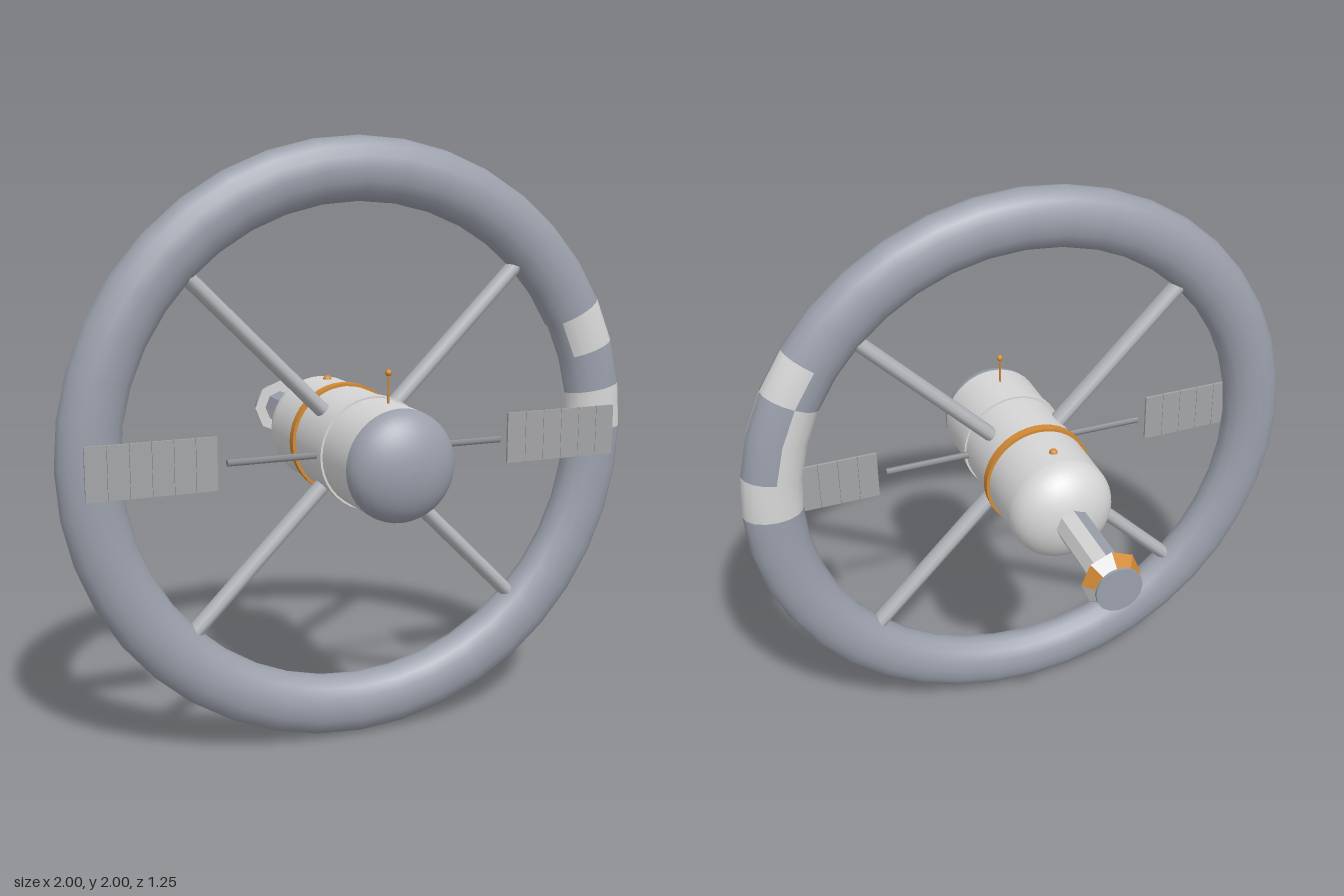
import * as THREE from 'three';

const mat = (name, color) => Object.assign(new THREE.MeshStandardMaterial({ color }), { name });

export function createModel() {
  const blueGrey = mat('blue grey', 0x9a9fab);
  const light = mat('light grey', 0xd6d6d6);
  const steel = mat('steel', 0xb4b6ba);
  const panelGrey = mat('panel grey', 0xa3a4a6);
  const armGrey = mat('arm grey', 0x8c8e92);
  const orange = mat('orange', 0xd38a35);

  const station = new THREE.Group();
  station.name = 'spaceStation';
  station.position.y = 1;

  const add = (name, geometry, material, x = 0, y = 0, z = 0) => {
    const mesh = new THREE.Mesh(geometry, material);
    mesh.name = name;
    mesh.position.set(x, y, z);
    station.add(mesh);
    return mesh;
  };

  // Surface of revolution about z; points are [radius, z] with z rising
  const turned = (points, sides = 40) =>
    new THREE.LatheGeometry(points.map(([r, z]) => new THREE.Vector2(r, z)), sides).rotateX(Math.PI / 2);

  // Faceted eight-sided tube along z, with a material index for each side
  const octagon = (rFront, rBack, length, sideColors) => {
    const base = new THREE.CylinderGeometry(rFront, rBack, length, 8).rotateX(Math.PI / 2);
    const geometry = base.toNonIndexed();
    geometry.clearGroups();
    sideColors.forEach((m, i) => geometry.addGroup(i * 6, 6, m));
    geometry.addGroup(48, 48, 0);
    geometry.computeVertexNormals();
    return geometry;
  };

  // Habitat ring with a few pale plates on its left side
  const segments = 40, around = 16;
  const ringGeo = new THREE.TorusGeometry(0.897, 0.103, around, segments).scale(1, 1, 0.75);
  ringGeo.clearGroups();
  const isPale = (j, i) => {
    const outer = j < 4 || j >= 12, front = j < 8;
    if (i === 0) return true;
    if (i === 2) return (front && j < 6) || (!front && !outer);
    if (i === 1) return !front && !outer;
    return i === 3 && !front && outer;
  };
  for (let j = 0; j < around; j++) {
    for (let i = 0; i < segments; i++) {
      ringGeo.addGroup((j * segments + i) * 6, 6, isPale(j, i) ? 1 : 0);
    }
  }
  add('habitatRing', ringGeo, [blueGrey, light], 0, 0, 0.19);

  // Four diagonal spokes
  for (let k = 0; k < 4; k++) {
    const a = Math.PI / 4 + k * Math.PI / 2;
    const geo = new THREE.CylinderGeometry(0.025, 0.025, 0.68, 10).scale(1, 1, 1.4);
    const spoke = add('spoke', geo, steel, Math.cos(a) * 0.48, Math.sin(a) * 0.48, 0.19);
    spoke.rotation.z = a - Math.PI / 2;
  }

  // Core hull and end domes
  const R = 0.18;
  add('hull', turned([[R, -0.14], [R, 0.52]]), light);
  const backDome = [], frontDome = [];
  for (let k = 0; k <= 10; k++) {
    const a = k / 10 * Math.PI / 2;
    backDome.push([R * Math.sin(a), -0.14 - 0.125 * Math.cos(a)]);
    frontDome.push([R * Math.cos(a), 0.52 + 0.105 * Math.sin(a)]);
  }
  add('backDome', turned(backDome), light);
  add('frontDome', turned(frontDome), blueGrey);

  // Raised bands round the hull
  const band = (name, material, z, r, half) => add(name,
    new THREE.CylinderGeometry(r, r, half * 2, 40).rotateX(Math.PI / 2), material, 0, 0, z);
  band('orangeBand', orange, 0.07, 0.19, 0.015);
  band('collar', light, 0.312, 0.187, 0.015);

  // Docking tube, flared collar and end hatch
  add('dockingTube', octagon(0.06, 0.06, 0.34, [0, 0, 0, 0, 1, 1, 0, 2]), [light, blueGrey, orange], 0, 0, -0.42);
  add('dockingCollar', octagon(0.1, 0.055, 0.055, [0, 0, 1, 0, 1, 1, 0, 0]), [light, orange], 0, 0, -0.587);
  add('dockingHatch', new THREE.CylinderGeometry(0.078, 0.078, 0.01, 16).rotateX(Math.PI / 2), blueGrey, 0, 0, -0.62);

  // Arms and six-cell solar panels on both sides
  for (const side of [-1, 1]) {
    add('panelArm', new THREE.CylinderGeometry(0.012, 0.012, 0.33, 6).rotateZ(Math.PI / 2),
      armGrey, side * 0.315, 0, 0.28);
    for (let k = 0; k < 6; k++) {
      add('solarCell', new THREE.BoxGeometry(0.068, 0.172, 0.009), panelGrey, side * (0.545 + k * 0.0693), 0, 0.278);
    }
  }

  // Antenna and rear beacon
  add('antennaMast', new THREE.CylinderGeometry(0.0035, 0.0035, 0.1, 6), orange, 0, 0.225, 0.43);
  add('antennaTip', new THREE.SphereGeometry(0.011, 12, 8), orange, 0, 0.277, 0.43);
  add('rearBeacon', new THREE.SphereGeometry(0.015, 12, 8), orange, 0, 0.178, -0.08);

  const model = new THREE.Group();
  model.name = 'model';
  model.add(station);
  return model;
}
